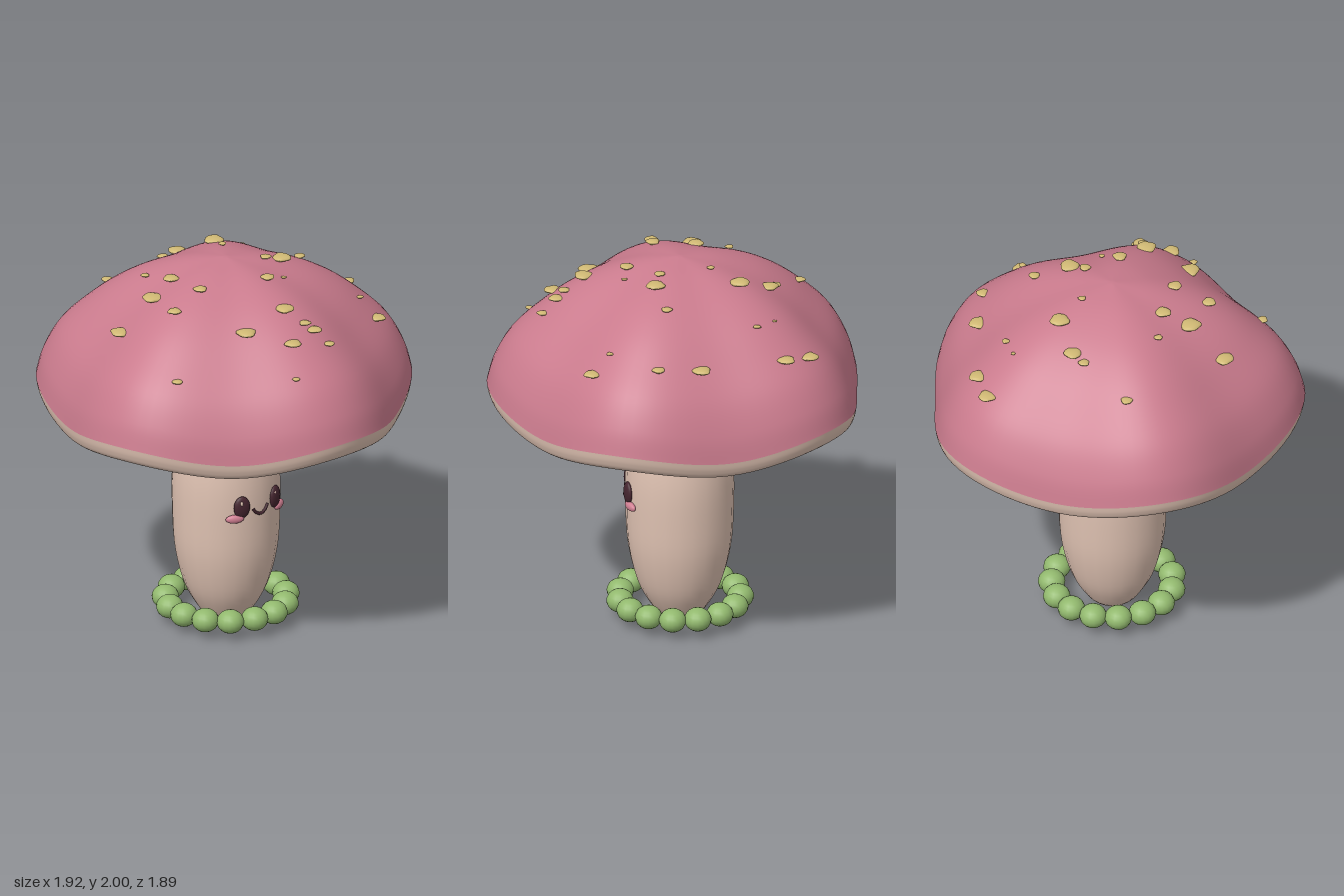
import * as THREE from 'three';
import { mergeVertices } from 'three/addons/utils/BufferGeometryUtils.js';

const paint = (name, color) => Object.assign(new THREE.MeshStandardMaterial({ color }), { name });
const lobe = (x, z) => Math.sin(5 * Math.atan2(z, x)); // five-lobed cap outline
const RIM = 0.945;

// Smooth lathe points through a few [radius, height] pairs
function profile(pairs, n) {
  const pts = pairs.map(([r, y]) => new THREE.Vector2(r, y));
  return new THREE.SplineCurve(pts).getPoints(n).map((p) => p.setX(Math.max(0, p.x)));
}

// Lathe with an optional vertex rule and seamless smooth normals
function turned(points, segments, rule) {
  let g = new THREE.LatheGeometry(points, segments);
  const p = g.attributes.position;
  const v = new THREE.Vector3();
  for (let i = 0; rule && i < p.count; i++) {
    rule(v.fromBufferAttribute(p, i));
    p.setXYZ(i, v.x, v.y, v.z);
  }
  g.deleteAttribute('uv');
  g.deleteAttribute('normal');
  g = mergeVertices(g, 1e-5);
  g.computeVertexNormals();
  return g;
}

// Lobes push the rim outward and lift it
function wavy(v) {
  const t = Math.hypot(v.x, v.z) / RIM;
  const s = t > 1e-6 ? lobe(v.x, v.z) : 0;
  v.x *= 1 + 0.042 * s;
  v.z *= 1 + 0.042 * s;
  v.y += 0.035 * s * t * t;
}

export function createModel() {
  const pink = paint('capPink', 0xca7b8d);
  const cream = paint('cream', 0xdfc2b2);
  const yellow = paint('spotYellow', 0xd0b974);
  const green = paint('mossGreen', 0x92b96e);
  const dark = paint('eyeDark', 0x45252f);
  const blush = paint('cheekPink', 0xd07f92);

  const model = new THREE.Group();
  model.name = 'mushroom';
  const body = new THREE.Group();
  body.name = 'body';
  body.position.set(-0.01, 0, -0.04);
  model.add(body);
  const add = (name, geometry, material, parent = body) => {
    const m = new THREE.Mesh(geometry, material);
    m.name = name;
    parent.add(m);
    return m;
  };

  // Cap
  const capPoints = profile([[RIM, 1.262], [0.91, 1.39], [0.83, 1.54], [0.7, 1.68],
    [0.56, 1.8], [0.4, 1.895], [0.2, 1.967], [0, 2]], 40);
  add('cap', turned(capPoints, 100, wavy), pink);

  // Rim and underside
  const underPoints = profile([[0, 1.2], [0.17, 1.195], [0.23, 1.167], [0.45, 1.155], [0.7, 1.153],
    [0.86, 1.16], [0.915, 1.18], [0.937, 1.22], [RIM, 1.262]], 48);
  add('capUnderside', turned(underPoints, 100, wavy), cream);

  // Gills, showing at the middle and beneath the raised lobes
  const gills = new THREE.Group();
  gills.name = 'gills';
  body.add(gills);
  const gillGeometry = new THREE.BoxGeometry(0.64, 0.03, 0.014).translate(0.52, 1.185, 0);
  for (let i = 0; i < 50; i++) {
    add('gill', gillGeometry, cream, gills).rotation.y = (i / 50) * Math.PI * 2;
  }

  // Stem
  const stemPoints = profile([[0, 0], [0.1, 0.012], [0.17, 0.1], [0.225, 0.22], [0.265, 0.4], [0.277, 0.6],
    [0.277, 0.8], [0.255, 0.98], [0.215, 1.11], [0.15, 1.19], [0, 1.23]], 36);
  add('stem', turned(stemPoints, 24), cream);

  // Spots resting on the cap: x, z, radius
  const spots = [
    [-.29, -.65, .03], [.44, -.71, .045], [.53, -.59, .045], [-.02, -.53, .028], [.05, -.5, .045],
    [.36, -.53, .012], [.43, -.44, .02], [.17, -.35, .05], [-.34, -.29, .022], [.1, -.2, .02],
    [-.64, -.13, .05], [-.45, -.1, .053], [-.31, -.12, .04], [.67, -.16, .048], [.72, .06, .033],
    [.43, .02, .028], [.17, .06, .028], [.26, .08, .048], [-.48, .11, .035], [-.3, .1, .035],
    [.04, .23, .035], [.14, .24, .015], [.59, .31, .018], [.63, .4, .042], [-.68, .37, .028],
    [-.27, .43, .05], [-.03, .45, .048], [.02, .55, .03], [.05, .59, .038], [-.11, .61, .043],
    [.09, .66, .028], [-.19, .73, .02]];
  const capHeight = (x, z) => {
    const s = lobe(x, z);
    const r = Math.hypot(x, z) / (1 + 0.042 * s);
    const i = Math.max(1, capPoints.findIndex((p) => p.x <= r));
    const a = capPoints[i - 1], b = capPoints[i];
    const y = a.y + (b.y - a.y) * ((r - a.x) / (b.x - a.x));
    return y + 0.035 * s * (r / RIM) ** 2;
  };
  const pebble = mergeVertices(new THREE.IcosahedronGeometry(1, 2).deleteAttribute('uv').deleteAttribute('normal'), 1e-4);
  const pp = pebble.attributes.position;
  for (let i = 0; i < pp.count; i++) {
    const a = Math.atan2(pp.getZ(i), pp.getX(i));
    const k = 1 + 0.07 * Math.sin(3 * a) + 0.05 * Math.cos(5 * a);
    pp.setXYZ(i, pp.getX(i) * k, pp.getY(i), pp.getZ(i) * k);
  }
  pebble.computeVertexNormals();
  const spotGroup = new THREE.Group();
  spotGroup.name = 'spots';
  body.add(spotGroup);
  spots.forEach(([wx, wz, r], i) => {
    const x = wx + 0.01, z = wz + 0.04;
    const m = add('spot', pebble, yellow, spotGroup);
    m.position.set(x, capHeight(x, z) + 0.012, z);
    m.scale.set(r, r * 0.32, r);
    m.rotation.y = i * 1.7;
  });

  // Moss ring of beads around the foot
  const ring = new THREE.Group();
  ring.name = 'mossRing';
  body.add(ring);
  const bead = new THREE.SphereGeometry(0.07, 16, 12).scale(1, 0.87, 1);
  for (let i = 0; i < 15; i++) {
    const a = -Math.PI / 2 + (i / 15) * Math.PI * 2;
    add('mossBead', bead, green, ring).position.set(0.31 * Math.cos(a), 0.096, 0.31 * Math.sin(a));
  }

  // Face
  const face = new THREE.Group();
  face.name = 'face';
  face.position.x = -0.005;
  body.add(face);
  const ball = new THREE.SphereGeometry(1, 20, 14);
  const oval = (name, material, pos, size, turn) => {
    const m = add(name, ball, material, face);
    m.position.set(...pos);
    m.scale.set(...size);
    m.rotation.y = turn;
  };
  for (const s of [-1, 1]) {
    oval('eye', dark, [s * 0.11, 0.717, 0.262], [0.044, 0.06, 0.02], s * 0.35);
    oval('eyeGlint', cream, [s * 0.11 - 0.013, 0.745, 0.277], [0.008, 0.012, 0.006], s * 0.35);
    oval('cheek', blush, [s * 0.147, 0.658, 0.25], [0.048, 0.023, 0.018], s * 0.5);
  }
  const smile = new THREE.CatmullRomCurve3([[-0.05, 0.7], [-0.03, 0.674], [0, 0.66], [0.03, 0.674], [0.05, 0.7]]
    .map(([x, y]) => new THREE.Vector3(x, y, 0.28 - x * x * 2)));
  add('mouth', new THREE.TubeGeometry(smile, 20, 0.008, 8), dark, face);

  return model;
}
